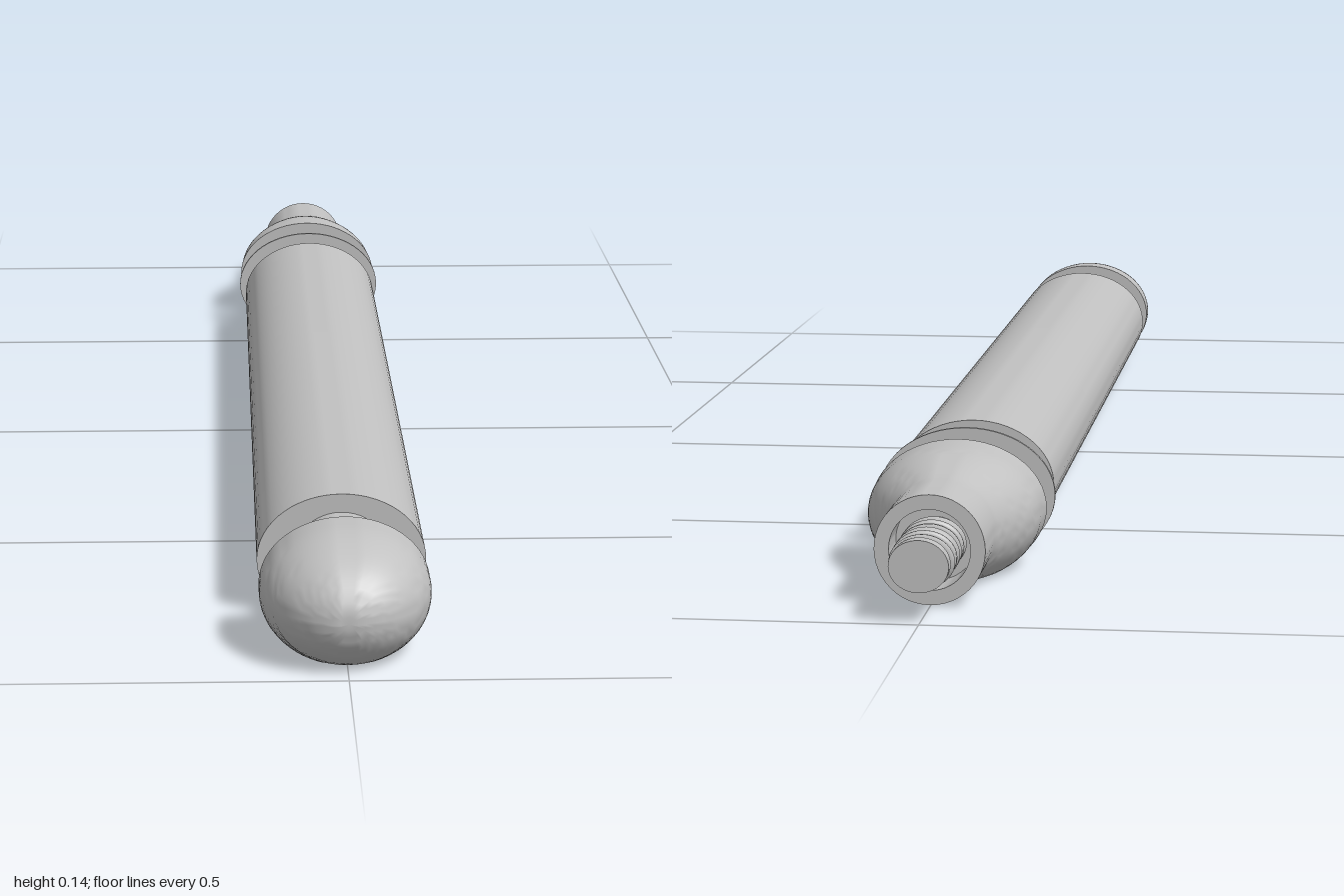
import * as THREE from 'three';
import { toCreasedNormals } from 'three/addons/utils/BufferGeometryUtils.js';

const AXIS_Y = 0.062; // height of the common long axis
const STEPS = 48;

// Loft of ellipses [z, rx, ry], back to front, each cut flat at the ground
function loft(sections) {
  const pos = [], index = [], n = STEPS + 1;
  for (const [z, rx, ry] of sections) {
    const a0 = Math.asin(Math.max(-1, -AXIS_Y / ry));
    for (let i = 0; i < n; i++) {
      const a = a0 + (Math.PI - 2 * a0) * i / STEPS;
      pos.push(rx * Math.cos(a), AXIS_Y + ry * Math.sin(a), z);
    }
  }
  const last = (sections.length - 1) * n, c0 = sections.length * n;
  pos.push(0, AXIS_Y, sections[0][0], 0, AXIS_Y, sections[sections.length - 1][0]);
  for (let i = 0; i < n; i++) {
    const j = (i + 1) % n;
    for (let b = 0; b < last; b += n) {
      index.push(b + i, b + j, b + n + j, b + i, b + n + j, b + n + i);
    }
    index.push(c0, j, i, c0 + 1, last + i, last + j);
  }
  const geo = new THREE.BufferGeometry();
  geo.setAttribute('position', new THREE.Float32BufferAttribute(pos, 3));
  geo.setIndex(index);
  return toCreasedNormals(geo, 0.36);
}

export function createModel() {
  const group = new THREE.Group();
  const grey = new THREE.MeshStandardMaterial({ color: 0xc1c1c1 });
  grey.name = 'light grey';
  const add = (name, geo) => {
    const mesh = new THREE.Mesh(geo, grey);
    mesh.name = name;
    group.add(mesh);
  };
  const prism = (z0, z1, rx, ry) => loft([[z0, rx, ry], [z1, rx, ry]]);

  // Long flat-bottomed grip and the thin collar plate
  add('body', prism(-0.545, 0.772, 0.094, 0.075));
  add('collarPlate', prism(-0.608, -0.603, 0.102, 0.077));

  // Round necks in the gaps
  add('frontNeck', prism(0.76, 0.87, 0.055, 0.054));
  add('rearNeck', prism(-0.69, -0.535, 0.055, 0.054));

  // Domed front cap
  const nose = [[0.858, 0.093, 0.075]];
  for (let i = 0; i <= 16; i++) {
    const a = Math.PI / 2 * i / 16, s = Math.max(Math.cos(a), 0.004);
    nose.push([0.885 + 0.115 * Math.sin(a), 0.093 * s, 0.075 * s]);
  }
  add('noseCap', loft(nose));

  // Tapered rear socket with a recessed end
  const socket = [[-0.865, 0.044, 0.044], [-0.917, 0.044, 0.044], [-0.917, 0.06, 0.06]];
  for (let i = 0; i <= 14; i++) {
    const t = i / 14, s = Math.pow(Math.sin(t * Math.PI / 2), 1.7);
    socket.push([-0.84 + 0.13 * t, 0.06 + 0.038 * s, 0.06 + 0.016 * s]);
  }
  socket.push([-0.68, 0.1, 0.077]);
  add('rearSocket', loft(socket));

  // Threaded stud, slightly flattened
  add('stud', prism(-1, -0.86, 0.029, 0.026));
  add('studTip', prism(-1, -0.984, 0.032, 0.028));
  const helix = [];
  for (let i = 0; i <= 120; i++) {
    const a = Math.PI * 2 * 6 * i / 120;
    helix.push(new THREE.Vector3(0.03 * Math.cos(a), AXIS_Y + 0.025 * Math.sin(a), -0.98 + 0.11 * i / 120));
  }
  add('thread', new THREE.TubeGeometry(new THREE.CatmullRomCurve3(helix), 240, 0.005, 6));

  return group;
}
